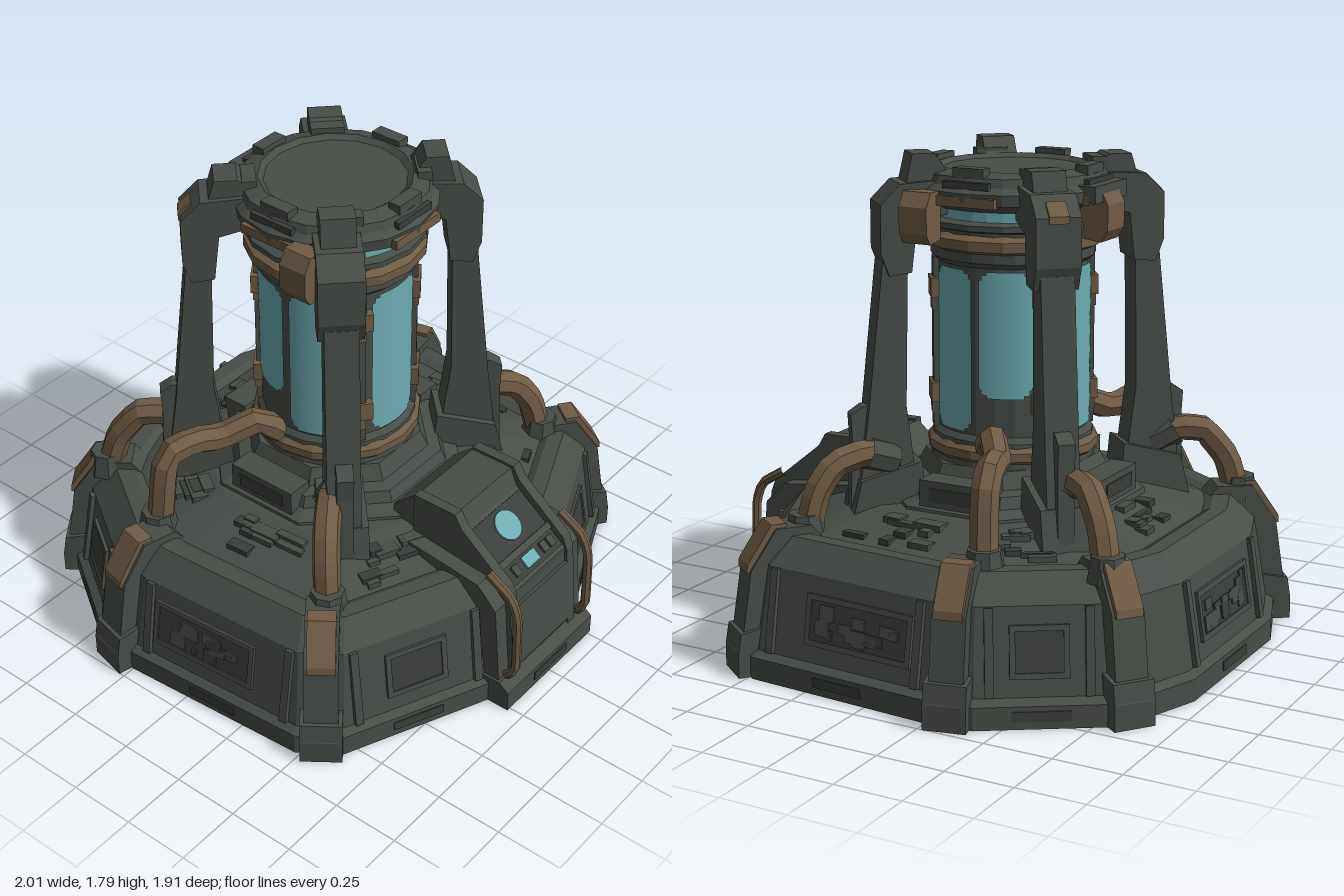
import * as THREE from 'three';

const mat = (name, color) => Object.assign(new THREE.MeshStandardMaterial({ color }), { name });
const METAL = mat('dark grey metal', 0x484d48);
const RECESS = mat('recess grey', 0x3b3f3b);
const BROWN = mat('worn brown', 0x6e5b45);
const GLASS = mat('cyan glass', 0x6cacb0);
const CZ = -0.06; // tank axis

let seed = 7;
const rnd = () => (seed = (seed * 16807) % 2147483647) / 2147483647;

// Faceted mesh
function add(parent, name, geo, m, x = 0, y = 0, z = 0) {
  const g = geo.index ? geo.toNonIndexed() : geo;
  g.computeVertexNormals();
  const mesh = new THREE.Mesh(g, m);
  mesh.name = name;
  mesh.position.set(x, y, z);
  parent.add(mesh);
  return mesh;
}
const box = (p, name, m, w, h, d, x, y, z) => add(p, name, new THREE.BoxGeometry(w, h, d), m, x, y, z);

// Closed solid through rings of [x, y, z], each running from front to the left
function loft(rings) {
  const pos = [], n = rings[0].length;
  const mid = r => r.reduce((s, p) => s.map((v, k) => v + p[k] / n), [0, 0, 0]);
  const bottom = mid(rings[0]), last = rings[rings.length - 1], top = mid(last);
  for (let i = 0; i < n; i++) {
    const k = (i + 1) % n;
    pos.push(...bottom, ...rings[0][k], ...rings[0][i], ...top, ...last[i], ...last[k]);
    for (let j = 0; j + 1 < rings.length; j++) {
      const a = rings[j][i], b = rings[j][k], c = rings[j + 1][k], d = rings[j + 1][i];
      pos.push(...a, ...b, ...c, ...a, ...c, ...d);
    }
  }
  return new THREE.BufferGeometry().setAttribute('position', new THREE.Float32BufferAttribute(pos, 3));
}
// Round stack from [radius, y] pairs
const stack = (n, prof, phase = 0) => loft(prof.map(([r, y]) => Array.from({ length: n }, (_, i) => {
  const a = (i + phase) / n * Math.PI * 2;
  return [Math.sin(a) * r, y, Math.cos(a) * r];
})));

// Side profile [outward, y] given a width and pointed along (dx, dz)
function prism(p, name, m, profile, width, x, z, dx, dz) {
  const g = new THREE.ExtrudeGeometry(new THREE.Shape(profile.map(q => new THREE.Vector2(...q))),
    { depth: width, bevelEnabled: false });
  g.translate(0, 0, -width / 2);
  const mesh = add(p, name, g, m, x, 0, z);
  mesh.rotation.y = Math.atan2(-dz, dx);
  return mesh;
}
function pipe(p, name, pts, r, m = BROWN) {
  const curve = new THREE.CatmullRomCurve3(pts.map(q => new THREE.Vector3(...q)), false, 'catmullrom', 0.15);
  add(p, name, new THREE.TubeGeometry(curve, 14, r, 7, false), m);
}

function buildBase(g) {
  const half = [[0.25, 0.86], [0.8, 0.62], [0.9, 0.48], [0.95, -0.25], [0.93, -0.42], [0.68, -0.8], [0.56, -0.87], [0.34, -0.95]];
  const outline = [...half, ...half.slice().reverse().map(([x, z]) => [-x, z])];
  const sections = [[1, 0], [1, 0.08], [0.97, 0.1], [0.92, 0.4], [0.83, 0.49], [0.77, 0.49], [0.74, 0.475], [0.5, 0.55]];
  add(g, 'baseHull', loft(sections.map(([s, y]) => outline.map(([x, z]) => [x * s, y, z * s]))), METAL);

  // Framed windows, lip slots and deck clutter: edge index, window width, slide along the edge
  const faces = [[0, 0.24, 0], [2, 0.44, 0.06], [4, 0.2, 0], [7, 0.42, 0], [10, 0.2, 0], [12, 0.44, -0.06], [14, 0.24, 0]];
  for (const [i, w, slide] of faces) {
    const a = outline[i], b = outline[i + 1];
    const ex = b[0] - a[0], ez = b[1] - a[1], len = Math.hypot(ex, ez);
    const mx = (a[0] + b[0]) / 2, mz = (a[1] + b[1]) / 2;
    const yaw = Math.atan2(-ez, ex);
    const panel = new THREE.Group();
    panel.name = 'wallPanel';
    panel.position.set(mx * 0.945, 0.25, mz * 0.945);
    panel.rotation.set(-0.16, yaw, 0, 'YXZ');
    g.add(panel);
    box(panel, 'panelRecess', RECESS, w - 0.03, 0.14, 0.008, slide, 0, 0.003);
    for (const s of [-1, 1]) {
      box(panel, 'panelFrameBar', METAL, w, 0.02, 0.02, slide, s * 0.08, 0.002);
      box(panel, 'panelFrameEnd', METAL, 0.02, 0.16, 0.02, slide + s * (w / 2 - 0.01), 0, 0.002);
      box(panel, 'wallEdgeStrip', METAL, 0.03, 0.3, 0.025, s * (len / 2 - 0.06), 0, 0.004);
    }
    if (w > 0.3) for (let k = 0; k < 14; k++)
      box(panel, 'panelMachinery', k % 3 ? METAL : RECESS, 0.02 + rnd() * 0.05, 0.02 + rnd() * 0.04, 0.02,
        slide + (rnd() - 0.5) * (w - 0.1), (rnd() - 0.5) * 0.1, 0.003);
    const slot = box(g, 'lipSlot', RECESS, 0.2, 0.035, 0.008, mx, 0.045, mz);
    slot.rotation.y = yaw;
    for (let k = 0; k < 9; k++) {
      const t = 0.15 + rnd() * 0.75, s = 0.74 - 0.22 * t, u = (rnd() - 0.5) * 0.55;
      const bit = box(g, 'deckMachinery', k % 3 ? METAL : RECESS, 0.04 + rnd() * 0.08, 0.025, 0.02 + rnd() * 0.04,
        (mx + ex * u) * s, 0.475 + 0.07 * t, (mz + ez * u) * s);
      bit.rotation.y = yaw;
    }
  }
  // Stepped pedestal under the tank
  add(g, 'pedestal', stack(8, [[0.5, 0.46], [0.48, 0.56], [0.42, 0.58], [0.4, 0.62], [0.35, 0.63], [0.32, 0.69]], 0.5), METAL, 0, 0, CZ);
  for (const a of [Math.PI / 2, Math.PI, -Math.PI / 2]) {
    const b = box(g, 'pedestalBlock', METAL, 0.28, 0.12, 0.1, Math.sin(a) * 0.38, 0.6, CZ + Math.cos(a) * 0.38);
    const v = box(g, 'pedestalVent', RECESS, 0.2, 0.05, 0.008, Math.sin(a) * 0.43, 0.61, CZ + Math.cos(a) * 0.43);
    b.rotation.y = v.rotation.y = a;
  }
}

// Buttress posts at the six corners, each capped by a brown sleeve
function buildPosts(g, s) {
  const body = [[-0.3, 0], [0.035, 0], [0.035, 0.09], [0.015, 0.12], [-0.025, 0.38], [-0.12, 0.52], [-0.25, 0.52], [-0.3, 0.46]];
  const sleeve = [[-0.06, 0.38], [-0.012, 0.37], [-0.015, 0.4], [-0.105, 0.535], [-0.16, 0.535], [-0.16, 0.5]];
  for (const [x, z, dx, dz] of [[0.85, 0.56, 0.8, 0.6], [0.952, -0.335, 0.97, -0.22], [0.635, -0.85, 0.6, -0.8]]) {
    prism(g, 'cornerPost', METAL, body, 0.12, s * x, z, s * dx, dz);
    prism(g, 'postSleeve', BROWN, sleeve, 0.1, s * x, z, s * dx, dz);
    prism(g, 'postFoot', METAL, [[-0.1, 0], [0.035, 0], [0.035, 0.08], [0.022, 0.16], [-0.1, 0.18]], 0.15, s * x, z, s * dx, dz);
  }
}

function buildPipes(g, s) {
  const front = [[0.36, 0.7, 0.22], [0.46, 0.74, 0.28], [0.56, 0.71, 0.35], [0.61, 0.62, 0.39], [0.64, 0.45, 0.42]];
  const side = [[0.26, 0.76, -0.1], [0.33, 0.82, -0.16], [0.44, 0.77, -0.24], [0.54, 0.795, -0.28], [0.63, 0.78, -0.31], [0.66, 0.72, -0.315], [0.675, 0.58, -0.32], [0.69, 0.45, -0.33]];
  const rear = [[0.36, 0.67, -0.42], [0.41, 0.735, -0.52], [0.47, 0.725, -0.61], [0.52, 0.62, -0.68], [0.55, 0.45, -0.72]];
  for (const r of [front, side, rear]) {
    const run = r.map(([x, y, z]) => [s * x, y, z]);
    pipe(g, 'coolantPipe', run, 0.05);
    if (r !== side) pipe(g, 'pipeJacket', run.slice(0, 2), 0.062, METAL);
    const [x, , z] = run[run.length - 1];
    add(g, 'pipeSocket', new THREE.CylinderGeometry(0.06, 0.075, 0.09, 8), METAL, x, 0.5, z);
  }
}

// Leaning pillars with heavy shoulder blocks gripping the cap
function buildPillars(g, s) {
  for (const f of [1, -1]) {
    const top = f > 0 ? 1.79 : 1.76, z = f > 0 ? CZ - 0.045 : CZ;
    prism(g, 'pillar', METAL, [[0.4, 0.5], [0.63, 0.5], [0.61, 0.7], [0.59, 0.85], [0.53, 1.42], [0.44, 1.42], [0.45, 0.9]], 0.12, 0, z, s, f);
    prism(g, 'pillarRib', METAL, [[0.55, 0.5], [0.65, 0.5], [0.64, 0.78], [0.645, 0.87], [0.6, 0.9], [0.55, 0.9]], 0.06, 0, z, s, f);
    prism(g, 'pillarFoot', METAL, [[0.38, 0.48], [0.66, 0.48], [0.62, 0.64], [0.4, 0.7]], 0.17, 0, z, s, f);
    prism(g, 'shoulderBlock', METAL, [[0.43, 1.38], [0.51, 1.37], [0.54, 1.45], [0.54, 1.62], [0.47, 1.69], [0.3, 1.7], [0.3, 1.58], [0.41, 1.55]], 0.16, 0, z, s, f);
    prism(g, 'shoulderKnob', METAL, [[0.3, 1.66], [0.45, 1.66], [0.42, top], [0.34, top], [0.3, 1.73]], 0.12, 0, z, s, f);
  }
  // Brown fittings beside the front shoulders and on the rear ones
  prism(g, 'sideCanister', BROWN, [[0.33, 1.5], [0.4, 1.49], [0.425, 1.53], [0.425, 1.62], [0.395, 1.67], [0.33, 1.67]], 0.11, 0, 0.1, s, 0);
  prism(g, 'rearShoulderPad', BROWN, [[0.5, 1.63], [0.53, 1.6], [0.546, 1.6], [0.546, 1.625], [0.5, 1.67]], 0.07, 0, CZ, s, -1);
}

function buildTank(g) {
  const tank = new THREE.Group();
  tank.name = 'tank';
  tank.position.z = CZ;
  g.add(tank);
  const rad = Math.PI / 180;
  add(tank, 'tankCore', stack(24, [[0.3, 0.66], [0.29, 0.78], [0.272, 0.8], [0.272, 1.4], [0.295, 1.42], [0.295, 1.56], [0.285, 1.56], [0.285, 1.62]]), METAL);
  add(tank, 'lowerBand', stack(16, [[0.3, 0.71], [0.31, 0.72], [0.31, 0.75], [0.29, 0.77]]), BROWN);
  add(tank, 'upperBand', stack(16, [[0.29, 1.45], [0.325, 1.465], [0.325, 1.5], [0.29, 1.52]]), BROWN);
  add(tank, 'slitSill', stack(16, [[0.29, 1.525], [0.325, 1.535], [0.325, 1.555], [0.29, 1.565]]), METAL);
  add(tank, 'cap', stack(16, [[0.3, 1.6], [0.36, 1.63], [0.365, 1.67], [0.34, 1.69], [0.33, 1.72], [0.27, 1.735], [0.25, 1.72]]), METAL);

  // Glass panes with clipped corners: centre angle, half width, bottom, top
  const panes = [[0, 24, 0.81, 1.39], [67, 20, 0.81, 1.39], [113, 20, 0.94, 1.39], [180, 24, 0.81, 1.39], [-113, 20, 0.94, 1.39], [-67, 20, 0.81, 1.39]];
  for (const [c, h, y0, y1] of panes)
    for (const [cut, dy] of [[0, 0.03], [2, 0.012], [6, 0]]) {
      const a = (h - cut) * rad;
      add(tank, 'glassPane', new THREE.CylinderGeometry(0.278, 0.278, y1 - y0 - 2 * dy, 10, 1, true, c * rad - a, 2 * a), GLASS, 0, (y0 + y1) / 2, 0);
    }
  // Clamps and frame bars between the panes
  for (const c of [36, 144, -144, -36]) {
    const a = c * rad, x = Math.sin(a), z = Math.cos(a);
    box(tank, 'frameBar', METAL, 0.06, 0.62, 0.03, x * 0.275, 1.1, z * 0.275).rotation.y = a;
    for (const y of [0.92, 1.3]) {
      box(tank, 'frameClamp', BROWN, 0.11, 0.07, 0.04, x * 0.28, y, z * 0.28).rotation.y = a;
      box(tank, 'clampLug', BROWN, 0.06, 0.1, 0.04, x * 0.275, y - 0.03, z * 0.275).rotation.y = a;
    }
  }
  // Cap fittings and the glowing slit between the shoulders
  for (let i = 0; i < 8; i++) {
    const a = i * Math.PI / 4, x = Math.sin(a), z = Math.cos(a);
    box(tank, 'capTab', METAL, 0.12, 0.035, 0.05, x * 0.3, 1.735, z * 0.3).rotation.y = a;
    if (i % 2) continue;
    add(tank, 'glowSlit', new THREE.CylinderGeometry(0.293, 0.293, 0.04, 6, 1, true, a - 0.55, 1.1), GLASS, 0, 1.585, 0);
    box(tank, 'capBrace', BROWN, 0.24, 0.035, 0.03, x * 0.345, 1.64, z * 0.345).rotation.y = a;
    box(tank, 'capSlot', RECESS, 0.18, 0.025, 0.02, x * 0.335, 1.695, z * 0.335).rotation.y = a;
  }
  // Rear canister with a dark bracket
  prism(tank, 'rearCanister', BROWN, [[0.3, 1.5], [0.38, 1.49], [0.405, 1.53], [0.405, 1.62], [0.375, 1.68], [0.3, 1.68]], 0.13, 0, 0, 0, -1);
  box(tank, 'rearBracket', METAL, 0.24, 0.06, 0.08, 0, 1.66, -0.345);
}

function buildConsole(g) {
  prism(g, 'consolePlinth', METAL, [[0.5, 0], [0.94, 0], [0.94, 0.08], [0.9, 0.11], [0.5, 0.11]], 0.53, 0, 0, 0, 1);
  prism(g, 'consoleBody', METAL, [[0.35, 0.1], [0.9, 0.1], [0.87, 0.42], [0.87, 0.45], [0.65, 0.62], [0.62, 0.69], [0.45, 0.69], [0.35, 0.6]], 0.36, 0, 0, 0, 1);
  box(g, 'consoleFrontPlate', METAL, 0.32, 0.26, 0.02, 0, 0.26, 0.888).rotation.x = -0.09;
  box(g, 'plinthSlot', RECESS, 0.2, 0.035, 0.008, 0, 0.045, 0.94);
  const face = new THREE.Group();
  face.name = 'controlFace';
  face.position.set(0, 0.535, 0.76);
  face.rotation.x = -0.912; // matches the sloping desk
  g.add(face);
  box(face, 'screenPlate', RECESS, 0.3, 0.25, 0.008, 0, 0, 0.003);
  add(face, 'roundScreen', new THREE.CylinderGeometry(0.057, 0.057, 0.008, 20).rotateX(Math.PI / 2), GLASS, 0, 0.055, 0.01);
  box(face, 'smallScreen', GLASS, 0.075, 0.045, 0.008, -0.015, -0.085, 0.014);
  box(face, 'deskDivider', METAL, 0.3, 0.025, 0.03, 0, -0.04, 0.004);
  for (const x of [-0.1, 0.07, 0.11]) box(face, 'deskKey', METAL, 0.03, 0.04, 0.02, x, -0.085, 0.008);
  for (const s of [-1, 1]) {
    prism(g, 'consoleCheek', METAL, [[0.45, 0.1], [0.91, 0.1], [0.88, 0.44], [0.86, 0.49], [0.66, 0.65], [0.63, 0.7], [0.45, 0.7]], 0.04, s * 0.175, 0, 0, 1);
    prism(g, 'consoleFlank', METAL, [[0.45, 0.1], [0.89, 0.1], [0.86, 0.42], [0.78, 0.5], [0.45, 0.54]], 0.07, s * 0.22, 0, 0, 1);
    pipe(g, 'consoleCable', [[s * 0.22, 0.12, 0.9], [s * 0.22, 0.17, 0.935], [s * 0.22, 0.4, 0.93], [s * 0.22, 0.48, 0.9], [s * 0.22, 0.54, 0.8]], 0.018);
  }
}

export function createModel() {
  const model = new THREE.Group();
  model.name = 'tankStation';
  buildBase(model);
  for (const s of [1, -1]) {
    buildPosts(model, s);
    buildPipes(model, s);
    buildPillars(model, s);
  }
  buildTank(model);
  buildConsole(model);
  return model;
}
